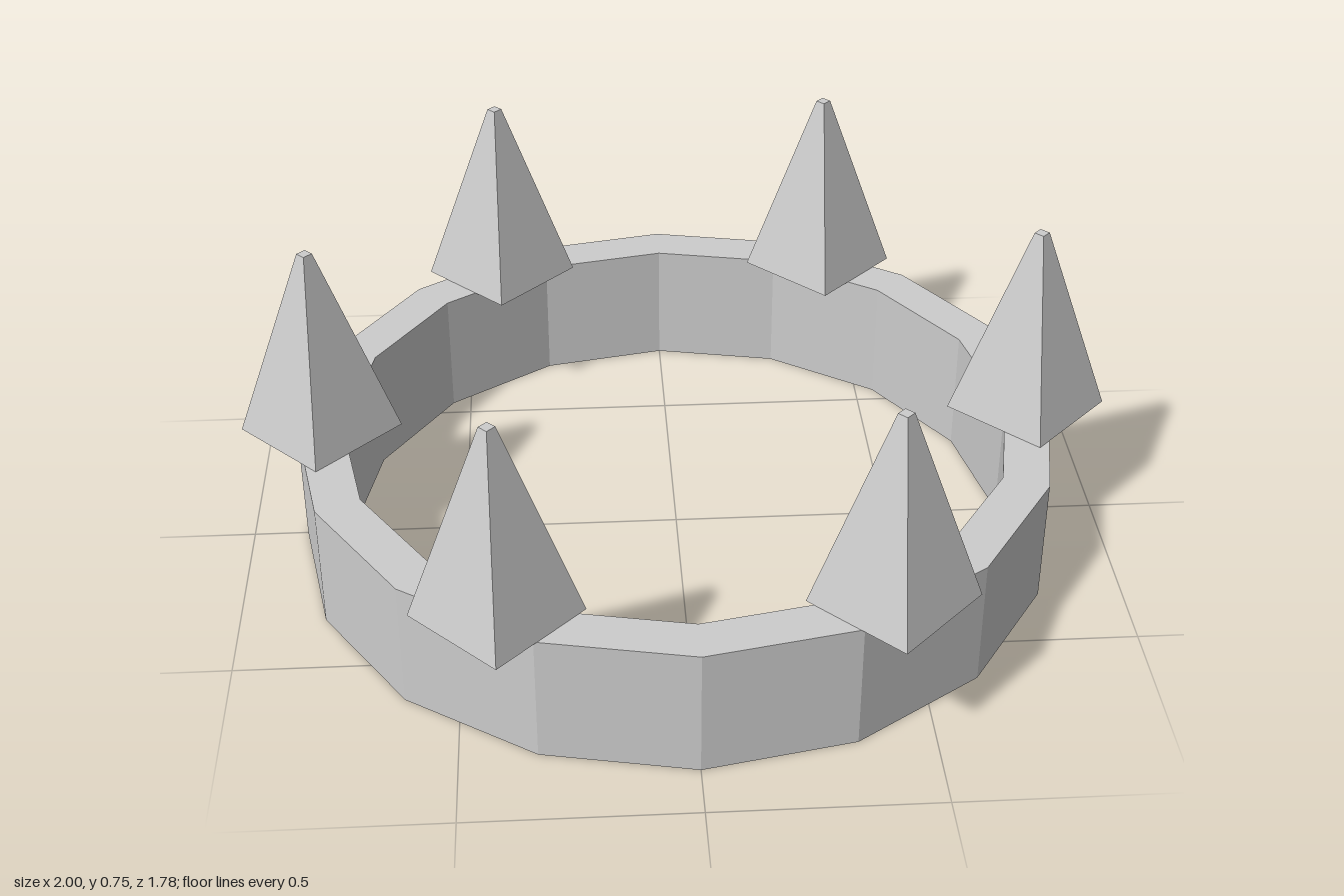
import * as THREE from 'three';

export function createModel() {
  const model = new THREE.Group();
  model.name = 'crown';
  const silver = new THREE.MeshStandardMaterial({ color: 0xcccccc, flatShading: true });
  silver.name = 'silver';

  // Sixteen-sided band with a rectangular section
  const outer = 0.875, inner = 0.77, height = 0.3;
  const section = [[outer, 0], [outer, height], [inner, height], [inner, 0], [outer, 0]]
    .map(([r, y]) => new THREE.Vector2(r, y));
  const band = new THREE.Mesh(new THREE.LatheGeometry(section, 16), silver);
  band.name = 'band';
  model.add(band);

  // Six four-sided spikes with blunt tips, all turned the same way
  const spikeHeight = 0.455, ringRadius = 0.817;
  const spikeGeometry = new THREE.CylinderGeometry(0.017, 0.183, spikeHeight, 4);
  for (let i = 0; i < 6; i++) {
    const angle = i * Math.PI / 3;
    const spike = new THREE.Mesh(spikeGeometry, silver);
    spike.name = 'spike' + (i + 1);
    spike.position.set(Math.cos(angle) * ringRadius, height + spikeHeight / 2, Math.sin(angle) * ringRadius);
    model.add(spike);
  }
  return model;
}
